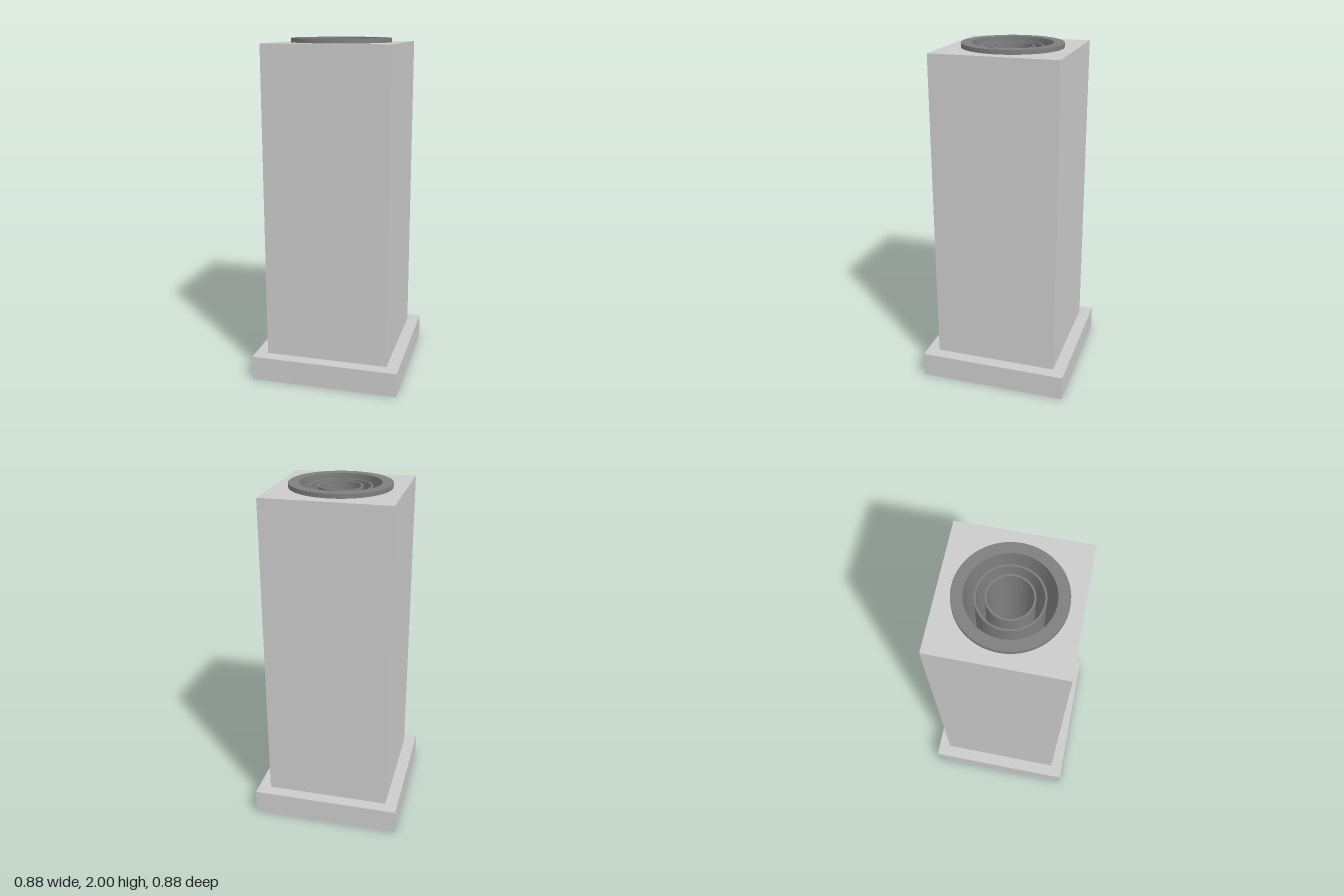
import * as THREE from 'three';
import { toCreasedNormals } from 'three/addons/utils/BufferGeometryUtils.js';

const BASE_TOP = 0.145, SHAFT_TOP = 1.975;

export function createModel() {
  const model = new THREE.Group();
  const grey = new THREE.MeshStandardMaterial({ color: 0xcccccc });
  const dark = new THREE.MeshStandardMaterial({ color: 0x7f7f7f });

  const add = (name, geometry, material, y = 0) => {
    const mesh = new THREE.Mesh(geometry, material);
    mesh.name = name;
    mesh.position.y = y;
    model.add(mesh);
    return mesh;
  };

  // Hollow pipe with square-cut rims, standing on the base
  const addPipe = (name, outer, inner, top) => {
    const profile = [
      [inner, BASE_TOP], [outer, BASE_TOP], [outer, top], [inner, top], [inner, BASE_TOP],
    ].map(([r, y]) => new THREE.Vector2(r, y));
    add(name, toCreasedNormals(new THREE.LatheGeometry(profile, 96), 0.6), dark);
  };

  // Square plinth
  add('base', new THREE.BoxGeometry(0.876, BASE_TOP, 0.876), grey, BASE_TOP / 2);

  // Square shaft with a round bore for the flue
  const h = 0.365;
  const square = new THREE.Shape([[-h, -h], [h, -h], [h, h], [-h, h]].map(([x, y]) => new THREE.Vector2(x, y)));
  square.holes.push(new THREE.Path().absarc(0, 0, 0.285, 0, Math.PI * 2, true));
  const shaft = new THREE.ExtrudeGeometry(square, {
    depth: SHAFT_TOP - BASE_TOP, bevelEnabled: false, curveSegments: 48,
  });
  shaft.rotateX(-Math.PI / 2);
  add('shaft', shaft, grey, BASE_TOP);

  // Thick outer flue and two thin pipes nested inside it
  addPipe('outerFlue', 0.2915, 0.23, 2);
  addPipe('middlePipe', 0.178, 0.168, 1.98);
  addPipe('innerPipe', 0.125, 0.115, 1.98);

  // Floor closing the flue
  add('flueFloor', new THREE.CylinderGeometry(0.24, 0.24, 0.01, 64), dark, BASE_TOP + 0.005);

  return model;
}
